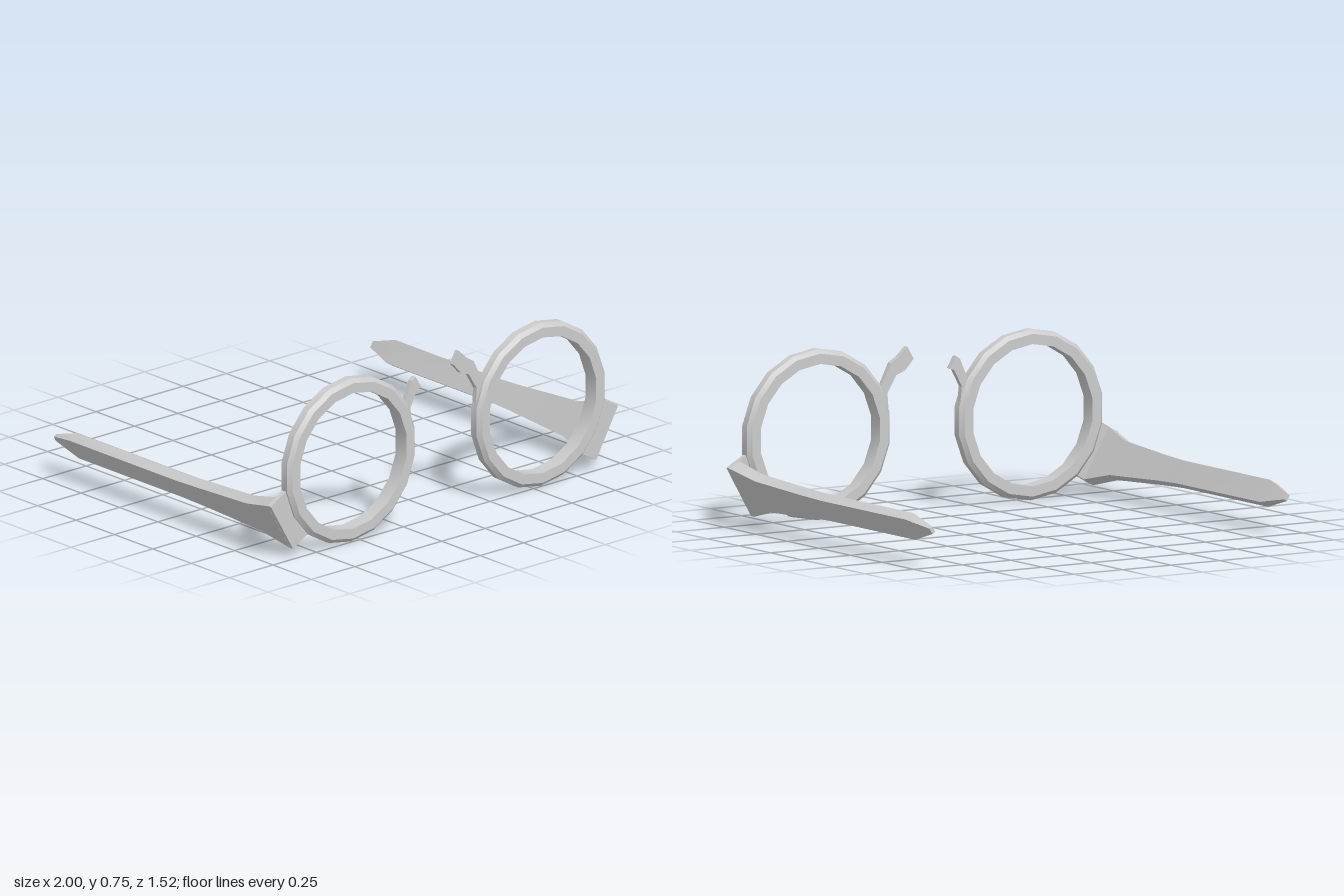
import * as THREE from 'three';
import { toCreasedNormals } from 'three/addons/utils/BufferGeometryUtils.js';

const material = new THREE.MeshStandardMaterial({ color: 0xcccccc });
const TILT = Math.PI / 6; // temples lean outwards at the top

function mesh(name, geometry) {
  const m = new THREE.Mesh(geometry, material);
  m.name = name;
  return m;
}

// 18-sided lens ring with chamfered outer edges
function rim() {
  const profile = [
    [0.31, -0.035], [0.355, -0.035], [0.373, -0.018], [0.373, 0.018],
    [0.355, 0.035], [0.31, 0.035], [0.31, -0.035],
  ].map(([r, z]) => new THREE.Vector2(r, z));
  const g = new THREE.LatheGeometry(profile, 18).rotateX(Math.PI / 2);
  return toCreasedNormals(g, 0.6);
}

// Tapered arm: a segmented box resized at each station, from tip to hinge
function temple() {
  const stations = [ // z, thickness, height
    [-0.762, 0.017, 0.028],
    [-0.62, 0.05, 0.107],
    [0.05, 0.05, 0.107],
    [0.2, 0.05, 0.12],
    [0.55, 0.052, 0.165],
    [0.715, 0.058, 0.255],
  ];
  const n = stations.length - 1;
  const g = new THREE.BoxGeometry(1, 1, 1, 1, 1, n);
  const p = g.attributes.position;
  for (let i = 0; i < p.count; i++) {
    const [z, w, h] = stations[Math.round((p.getZ(i) + 0.5) * n)];
    p.setXYZ(i, p.getX(i) * w, p.getY(i) * h, z);
  }
  return toCreasedNormals(g, 0.3);
}

// Flat piece of the snapped bridge
function bridgePiece(points) {
  const shape = new THREE.Shape(points.map(([x, y]) => new THREE.Vector2(x, y)));
  return new THREE.ExtrudeGeometry(shape, { depth: 0.024, bevelEnabled: false }).translate(0, 0, 0.707);
}

export function createModel() {
  const model = new THREE.Group();

  for (const [side, s] of [['left', 1], ['right', -1]]) {
    const ring = mesh(side + 'Rim', rim());
    ring.position.set(0.546 * s, 0.373, 0.725);

    const hinge = mesh(side + 'HingePlate', new THREE.BoxGeometry(0.102, 0.255, 0.024));
    hinge.position.set(0.892 * s, 0.176, 0.724);
    hinge.rotation.z = -TILT * s;

    const arm = mesh(side + 'Temple', temple());
    arm.position.set(0.911 * s, 0.164, 0);
    arm.rotation.z = -TILT * s;

    model.add(ring, hinge, arm);
  }

  // The two uneven halves of the broken bridge
  model.add(
    mesh('leftBridgePiece', bridgePiece([
      [0.055, 0.665], [0.1, 0.617], [0.145, 0.6], [0.19, 0.525], [0.185, 0.46],
      [0.2, 0.46], [0.225, 0.55], [0.172, 0.655], [0.135, 0.677], [0.088, 0.72],
    ])),
    mesh('rightBridgePiece', bridgePiece([
      [-0.13, 0.607], [-0.162, 0.66], [-0.183, 0.645], [-0.225, 0.55],
      [-0.2, 0.46], [-0.185, 0.46], [-0.192, 0.525], [-0.152, 0.6],
    ])),
  );
  return model;
}
